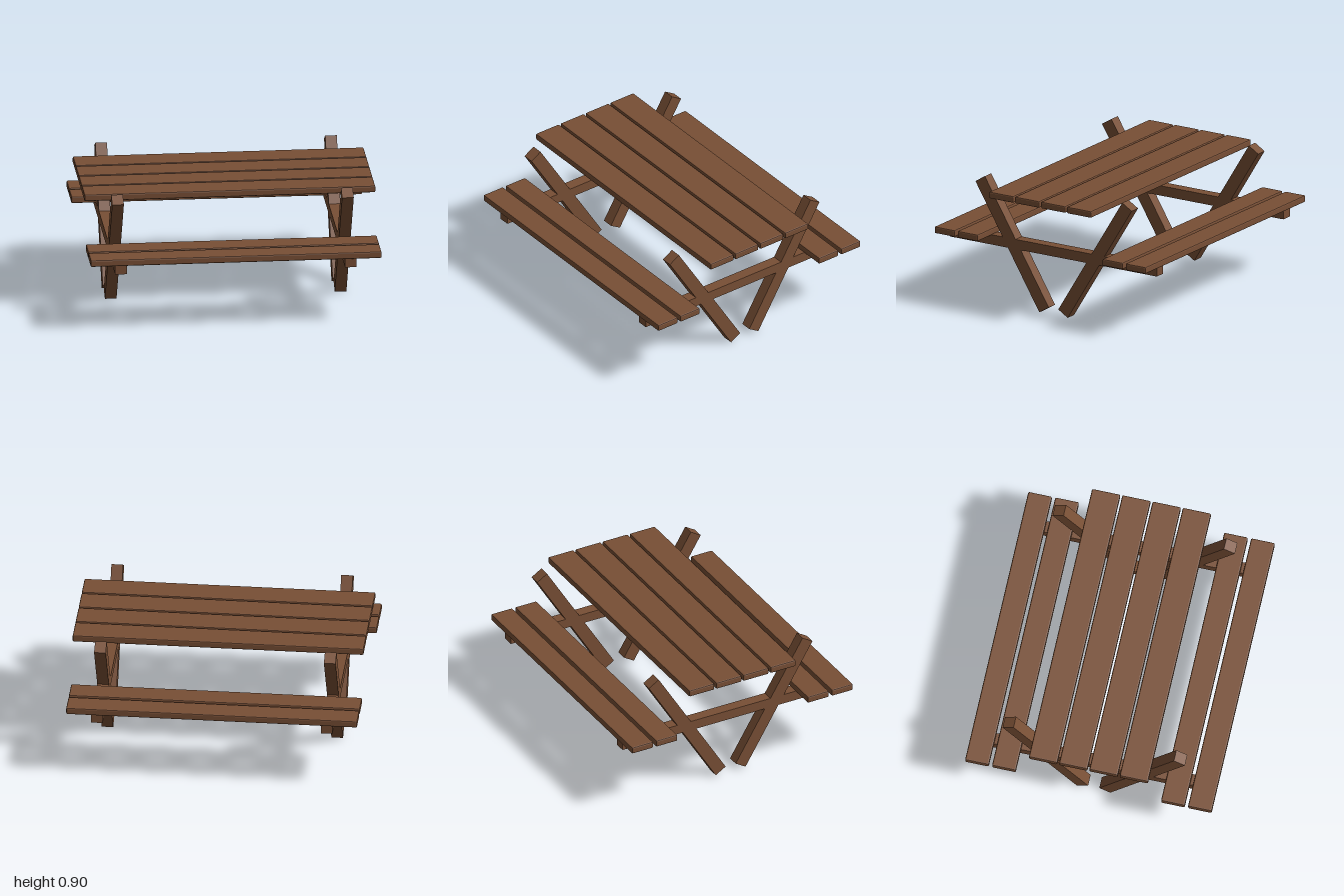
import * as THREE from 'three';
import { RoundedBoxGeometry } from 'three/addons/geometries/RoundedBoxGeometry.js';

export function createModel() {
  const model = new THREE.Group();
  model.name = 'picnicTable';
  const wood = new THREE.MeshStandardMaterial({ color: 0x784f35 });
  wood.name = 'brownWood';

  function add(name, geometry, x, y, z, tilt = 0) {
    const mesh = new THREE.Mesh(geometry, wood);
    mesh.name = name;
    mesh.position.set(x, y, z);
    mesh.rotation.x = tilt;
    model.add(mesh);
  }

  // full-length board with a small flat chamfer on every edge
  function plank(width, height) {
    const geometry = new RoundedBoxGeometry(2, height, width, 1, 0.009);
    geometry.computeVertexNormals();
    return geometry;
  }

  const tablePlank = plank(0.198, 0.048);
  const benchPlank = plank(0.166, 0.048);
  const leg = new THREE.BoxGeometry(0.08, 1, 0.09);
  const beam = new THREE.BoxGeometry(0.08, 0.07, 1.69);

  // table top: four boards
  for (const z of [-0.318, -0.106, 0.106, 0.318]) add('tablePlank', tablePlank, 0, 0.833, z);

  // two boards for each bench
  for (const side of [-1, 1]) {
    for (const z of [0.592, 0.781]) add('benchPlank', benchPlank, 0, 0.508, side * z);
  }

  // end frames: a pair of leaning legs and the beam carrying the benches
  for (const x of [-0.79, 0.79]) {
    add('benchBeam', beam, x, 0.455, 0);
    for (const side of [-1, 1]) add('leg', leg, x, 0.45, side * 0.339, side * 0.55);
  }
  return model;
}
